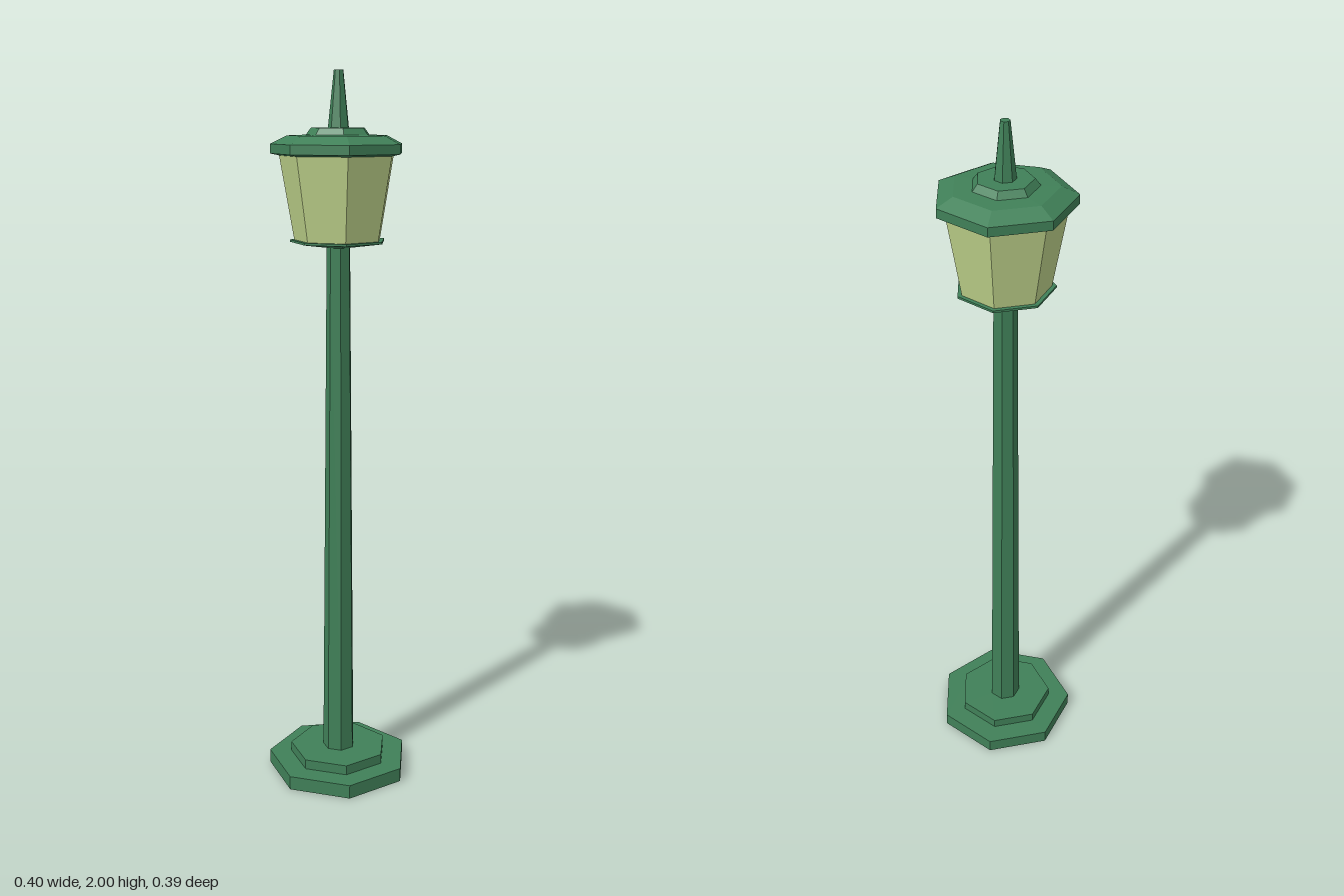
import * as THREE from 'three';

export function createModel() {
  const lampPost = new THREE.Group();
  lampPost.name = 'lampPost';

  const paint = new THREE.MeshStandardMaterial({ color: 0x408058, flatShading: true, side: THREE.DoubleSide });
  paint.name = 'green paint';
  const glass = new THREE.MeshStandardMaterial({ color: 0xbfd38b, flatShading: true, side: THREE.DoubleSide });
  glass.name = 'pale glass';

  // Every part is a seven-sided turned profile of [radius, height], bottom to top,
  // with one corner pointing to the back.
  function turned(name, profile, material) {
    const points = profile.map(([r, y]) => new THREE.Vector2(r, y));
    const geometry = new THREE.LatheGeometry(points, 7, Math.PI).toNonIndexed();
    geometry.computeVertexNormals();
    const mesh = new THREE.Mesh(geometry, material);
    mesh.name = name;
    mesh.position.z = 0.01; // centres the heptagon's extent in depth
    lampPost.add(mesh);
  }

  // Stepped foot, hollow and open underneath
  turned('base', [[0.206, 0], [0.206, 0.04], [0.142, 0.04], [0.142, 0.068], [0.046, 0.068]], paint);

  // Tapered hollow post
  turned('post', [[0.046, 0.068], [0.033, 1.537]], paint);

  // Shallow dish that carries the lantern
  turned('lanternDish', [[0.033, 1.537], [0.133, 1.551], [0.133, 1.557], [0.12, 1.557]], paint);

  // Flaring panes
  turned('lanternGlass', [[0.121, 1.557], [0.16, 1.78]], glass);

  // Bevelled roof with a raised collar
  turned('roof', [
    [0.16, 1.78], [0.184, 1.785], [0.184, 1.81], [0.139, 1.832], [0.088, 1.834],
    [0.074, 1.852], [0.029, 1.852],
  ], paint);

  // Blunt spike
  turned('finial', [[0.029, 1.852], [0.013, 2], [0, 2]], paint);

  return lampPost;
}
